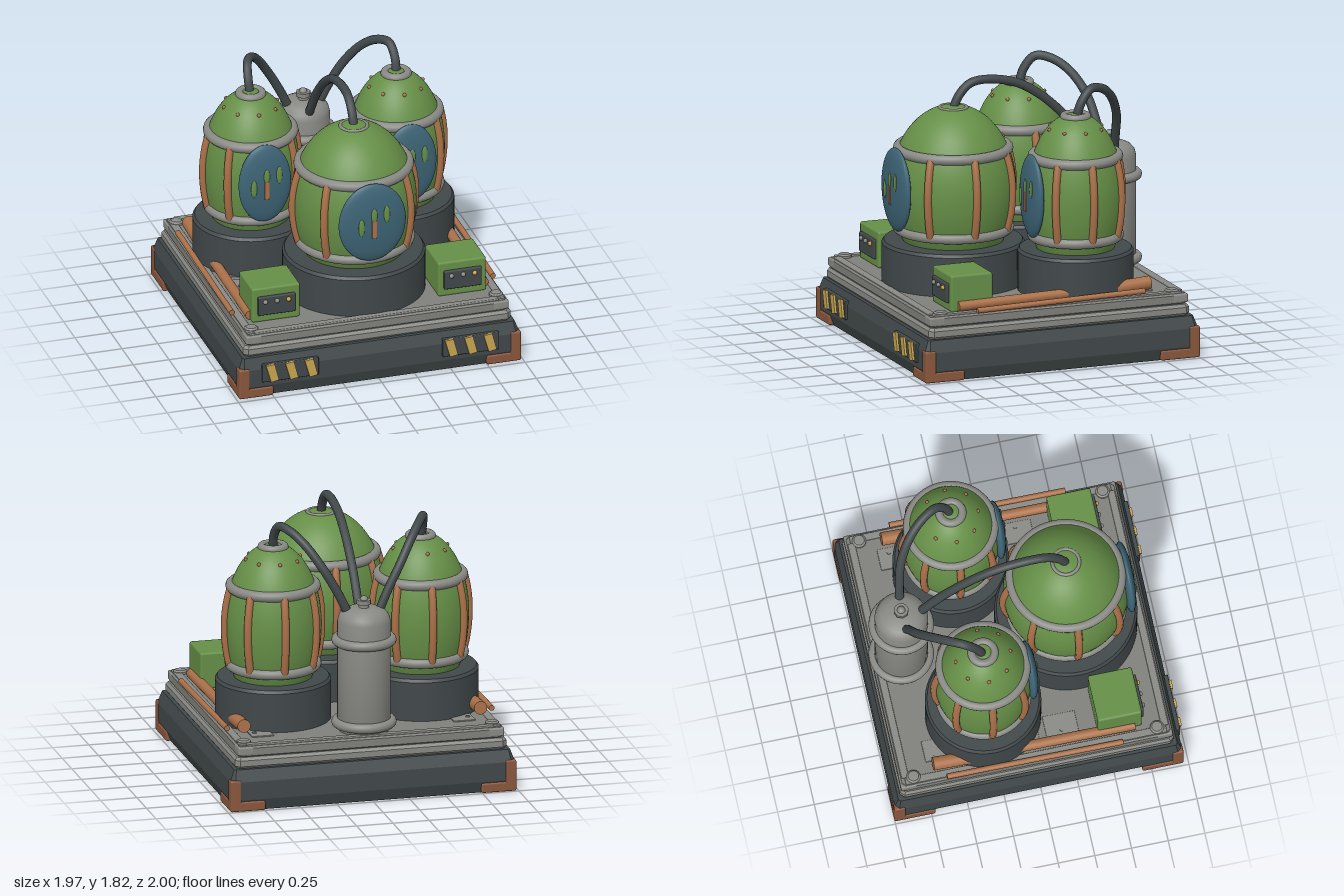
import * as THREE from 'three';
import { toCreasedNormals } from 'three/addons/utils/BufferGeometryUtils.js';
import { RoundedBoxGeometry } from 'three/addons/geometries/RoundedBoxGeometry.js';

const mat = (name, color) => {
  const m = new THREE.MeshStandardMaterial({ color });
  m.name = name;
  return m;
};

export function createModel() {
  const green = mat('green shell', 0x668f47), dark = mat('dark metal', 0x41484a);
  const gray = mat('gray metal', 0x898a85), copper = mat('copper', 0xaa7049);
  const rust = mat('rusty bracket', 0x8a573d), blue = mat('blue glass', 0x3d6476);
  const yellow = mat('yellow paint', 0xc9a54f), amber = mat('amber light', 0xd0a040);
  const deckGray = mat('deck gray', 0x80817c);

  const root = new THREE.Group();
  root.name = 'incubatorPlatform';
  const add = (parent, name, geo, material, x = 0, y = 0, z = 0) => {
    const m = new THREE.Mesh(geo, material);
    m.name = name;
    m.position.set(x, y, z);
    parent.add(m);
    return m;
  };
  const group = (name, x = 0, y = 0, z = 0) => {
    const g = new THREE.Group();
    g.name = name;
    g.position.set(x, y, z);
    root.add(g);
    return g;
  };
  const cyl = (r, h, n = 24) => new THREE.CylinderGeometry(r, r, h, n);
  const rbox = (w, h, d, r = 0.012) => new RoundedBoxGeometry(w, h, d, 2, r);
  const ring = (r, t) => new THREE.TorusGeometry(r, t, 12, 48).rotateX(Math.PI / 2);
  const lathe = (pts, n = 48) => toCreasedNormals(
    new THREE.LatheGeometry(pts.map(p => new THREE.Vector2(...p)), n), 0.5);

  // Chamfered slab with its underside at y = 0
  const slab = (w, d, h, bevel, inset, corner = 0.03) => {
    const s = new THREE.Shape(), a = w / 2, b = d / 2, c = corner;
    s.moveTo(-a + c, -b).lineTo(a - c, -b).lineTo(a, -b + c).lineTo(a, b - c)
      .lineTo(a - c, b).lineTo(-a + c, b).lineTo(-a, b - c).lineTo(-a, -b + c).closePath();
    return new THREE.ExtrudeGeometry(s, {
      depth: h - 2 * bevel, bevelThickness: bevel, bevelSize: inset, bevelOffset: -inset, bevelSegments: 1,
    }).rotateX(-Math.PI / 2).translate(0, bevel, 0);
  };

  // Platform
  const zc = -0.017;
  add(root, 'base', slab(1.96, 1.96, 0.285, 0.08, 0.03), dark, 0, 0, zc);
  add(root, 'lowerDeck', slab(1.87, 1.87, 0.08, 0.02, 0.015), gray, 0, 0.28, zc);
  add(root, 'upperDeck', slab(1.83, 1.85, 0.075, 0.012, 0.012), deckGray, 0, 0.358, zc);
  for (const s of [-1, 1]) {
    add(root, 'sideRim', rbox(0.05, 0.016, 1.78, 0.006), gray, s * 0.875, 0.437, zc);
    add(root, 'endRim', rbox(1.7, 0.016, 0.05, 0.006), gray, 0, 0.437, zc + s * 0.885);
    for (const [z, d] of [[-0.67, 0.15], [0.19, 0.22], [-0.02, 0.1]]) {
      add(root, 'accessPanel', rbox(0.15, 0.012, d, 0.004), gray, s * 0.695, 0.435, z);
      add(root, 'panelBolt', cyl(0.015, 0.02, 10), gray, s * 0.735, 0.438, z);
    }
    // Corner brackets and bolts
    for (const t of [-1, 1]) {
      const g = group('cornerBracket', s * 0.985, 0, zc + t * 0.985);
      add(g, 'bracketArmX', rbox(0.24, 0.068, 0.08), rust, -s * 0.12, 0.036, -t * 0.04);
      add(g, 'bracketArmZ', rbox(0.08, 0.068, 0.28), rust, -s * 0.04, 0.036, -t * 0.14);
      add(g, 'bracketPost', rbox(0.075, 0.215, 0.075), rust, -s * 0.0375, 0.11, -t * 0.0375);
      add(root, 'deckCorner', rbox(0.11, 0.06, 0.11), gray, s * 0.862, 0.4, zc + t * 0.872);
      add(root, 'deckBolt', lathe([[0, 0], [0.047, 0], [0.047, 0.018], [0.035, 0.028], [0, 0.028]], 20),
        gray, s * 0.855, 0.43, zc + t * 0.83);
    }
  }

  // Hazard plates on the front edge
  const slant = new THREE.Shape();
  slant.moveTo(-0.045, 0.06).lineTo(-0.01, -0.064).lineTo(0.045, -0.053).lineTo(0.014, 0.067).closePath();
  const stripe = new THREE.ExtrudeGeometry(slant, { depth: 0.016, bevelEnabled: false });
  for (const s of [-1, 1]) {
    add(root, 'hazardPlate', rbox(0.395, 0.13, 0.03, 0.006), dark, s * 0.63, 0.177, 0.963);
    for (const i of [-1, 0, 1])
      add(root, 'hazardStripe', stripe, yellow, s * 0.625 + i * 0.135, 0.177, 0.977);
  }

  // Egg pods
  const yMid = 1.08;
  const radiusAt = (y, R) => {
    const b = y > yMid ? 0.555 : 0.61;
    return R * Math.sqrt(Math.max(0, 1 - ((y - yMid) / b) ** 2));
  };
  const pod = (name, x, z, R, baseR, eyeW, cap, rivets) => {
    const g = group(name, x, 0, z);
    add(g, 'podBase', lathe([[0, 0.43], [baseR, 0.43], [baseR, 0.7], [baseR - 0.015, 0.72], [0, 0.72]], 64), dark);
    const profile = [];
    for (let i = 0; i <= 32; i++) {
      const a = -0.65 + (Math.PI / 2 + 0.65) * (i / 32);
      const y = yMid + Math.sin(a) * (a > 0 ? 0.555 : 0.61);
      profile.push(new THREE.Vector2(i === 32 ? 0 : radiusAt(y, R), y));
    }
    add(g, 'eggShell', new THREE.LatheGeometry(profile, 56), green);
    for (const y of [0.805, 1.345]) add(g, 'shellBand', ring(radiusAt(y, R) - 0.002, 0.035), gray, 0, y);
    add(g, 'capRing', ring(cap[0], cap[1]), gray, 0, cap[2]);

    // Curved ribs all round except behind the window
    const path = [];
    for (let i = 0; i <= 10; i++) {
      const y = 0.81 + 0.053 * i;
      path.push(new THREE.Vector3(0, y, radiusAt(y, R) + 0.008));
    }
    const rib = new THREE.TubeGeometry(new THREE.CatmullRomCurve3(path), 20, 0.026, 10);
    for (let i = 0; i < 8; i++) {
      const a = i * Math.PI / 4;
      if (i) add(g, 'rib', rib, copper).rotation.y = a;
      if (rivets) {
        const r = radiusAt(1.535, R);
        add(g, 'rivet', new THREE.SphereGeometry(0.013, 10, 8), copper, r * Math.sin(a), 1.535, r * Math.cos(a));
      }
    }

    // Oval window with floating shapes
    const oval = (n, m, w, h, d, px, py, pz) =>
      add(g, n, new THREE.SphereGeometry(1, 32, 24).scale(w, h, d), m, px, py, pz);
    const ez = R - 0.012, eh = 0.283;
    oval('window', blue, eyeW, eh, 0.05, 0, 1.093, ez);
    const front = (px, py) => ez + 0.05 * Math.sqrt(1 - (px / eyeW) ** 2 - ((py - 1.093) / eh) ** 2);
    for (const [px, py, h] of [[-0.088, 1.08, 0.063], [0, 1.16, 0.054], [0.088, 1.16, 0.062]])
      oval('windowLeaf', green, 0.021, h, 0.009, px, py, front(px, py));
    add(g, 'windowStem', rbox(0.036, 0.13, 0.012, 0.005), copper, 0, 1.06, front(0, 1.06));
  };
  pod('frontPod', 0, 0.377, 0.42, 0.477, 0.235, [0.09, 0.012, 1.618], false);
  for (const s of [-1, 1])
    pod(s < 0 ? 'rightPod' : 'leftPod', s * 0.508, -0.297, 0.325, 0.388, 0.183, [0.076, 0.028, 1.612], true);

  // Gas tank
  const tank = group('gasTank', 0, 0, -0.745);
  add(tank, 'tankBody', lathe([[0, 0.43], [0.165, 0.43], [0.178, 0.46], [0.178, 1.19], [0.168, 1.23],
    [0.14, 1.262], [0.1, 1.28], [0, 1.285]]), gray);
  for (const y of [0.49, 1.06]) add(tank, 'tankBand', ring(0.185, 0.033), gray, 0, y);
  add(tank, 'valveNeck', cyl(0.035, 0.06), gray, 0, 1.3);
  add(tank, 'valveCap', cyl(0.05, 0.03, 8), gray, 0, 1.322);
  add(tank, 'valveTip', new THREE.SphereGeometry(0.028, 14, 10), gray, 0, 1.335);

  // Hoses from pods to tank
  const hose = (name, pts) => add(root, name, new THREE.TubeGeometry(
    new THREE.CatmullRomCurve3(pts.map(p => new THREE.Vector3(...p))), 60, 0.03, 12), dark);
  hose('frontHose', [[0, 1.6, 0.38], [0, 1.69, 0.34], [0, 1.77, 0.26], [0, 1.79, 0.15],
    [0, 1.75, -0.07], [0, 1.64, -0.26], [0, 1.45, -0.46], [0, 1.23, -0.62]]);
  for (const s of [-1, 1])
    hose('sideHose', [[s * 0.508, 1.58, -0.297], [s * 0.513, 1.7, -0.335], [s * 0.495, 1.785, -0.41],
      [s * 0.44, 1.77, -0.51], [s * 0.36, 1.69, -0.61], [s * 0.26, 1.54, -0.69], [s * 0.17, 1.38, -0.72],
      [s * 0.1, 1.23, -0.735]]);

  // Control boxes
  for (const s of [-1, 1]) {
    const g = group('controlBox', s * 0.65, 0, 0.57);
    add(g, 'boxBody', rbox(0.335, 0.25, 0.3, 0.015), green, 0, 0.555, 0);
    add(g, 'boxPanel', rbox(0.26, 0.135, 0.03, 0.008), dark, 0, 0.553, 0.155);
    [-0.082, 0, 0.08].forEach((x, i) =>
      add(g, 'indicator', new THREE.SphereGeometry(0.016, 14, 10), i === 2 ? amber : gray, x, 0.585, 0.173));
  }

  // Side pipes
  const pipe = (name, r, x, y1, z1, y2, z2) => {
    const m = add(root, name, cyl(r, Math.hypot(y2 - y1, z2 - z1), 20), copper, x, (y1 + y2) / 2, (z1 + z2) / 2);
    m.rotation.x = Math.atan2(z2 - z1, y2 - y1);
  };
  for (const s of [-1, 1]) {
    pipe('mainPipe', 0.034, s * 0.815, 0.468, 0.67, 0.49, -0.5);
    pipe('pipeSleeve', 0.045, s * 0.815, 0.488, -0.46, 0.505, -0.705);
    pipe('thinPipe', 0.019, s * 0.912, 0.452, 0.57, 0.475, -0.63);
  }
  return root;
}
